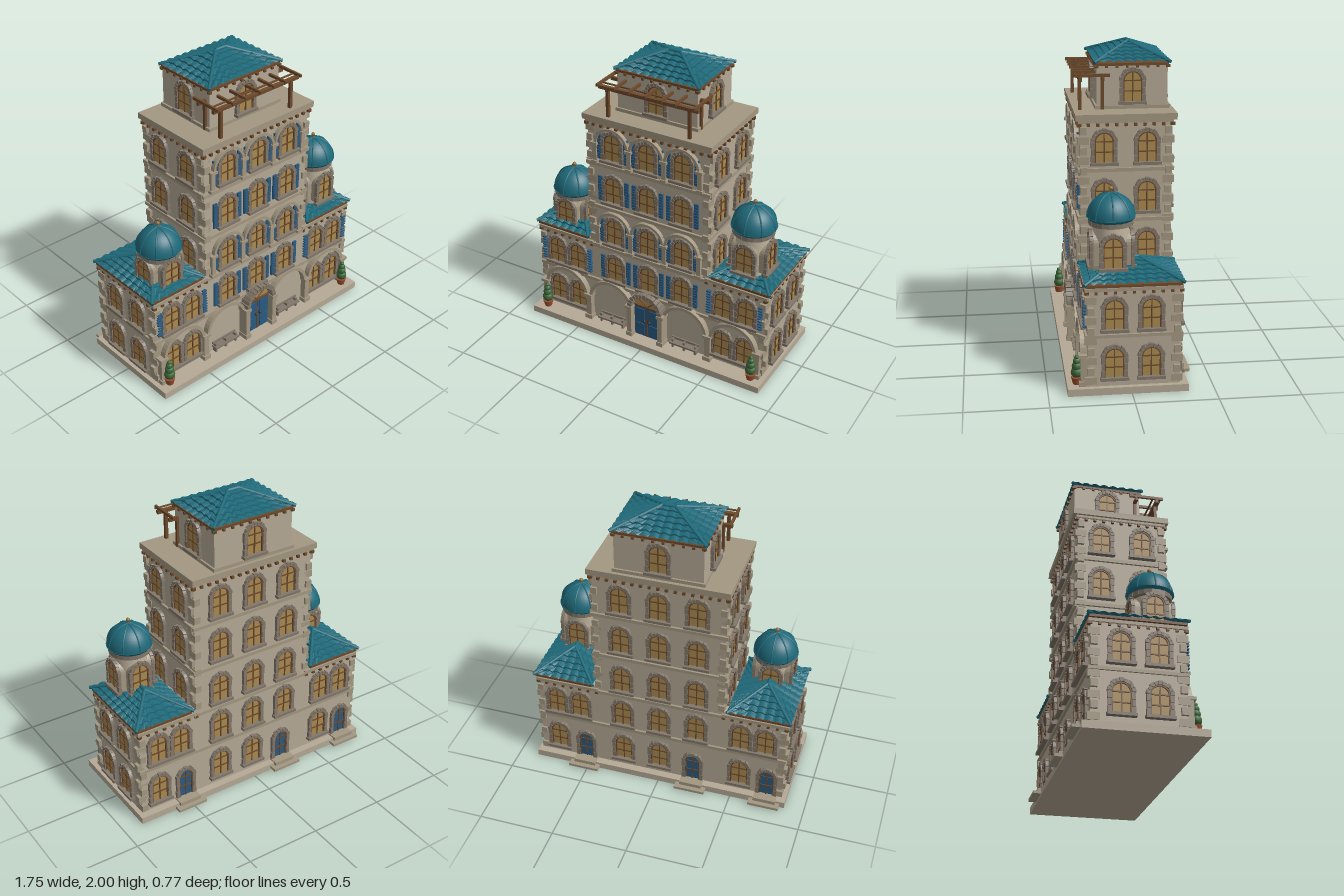
import * as THREE from 'three';
import { mergeGeometries } from 'three/addons/utils/BufferGeometryUtils.js';

const mat = (color, opts = {}) => new THREE.MeshStandardMaterial({ color, ...opts });
const M = {
  wall: mat(0xb5a995), drum: mat(0xc2b6a0), trim: mat(0xa39781), block: mat(0x82776a), pane: mat(0xa98a50),
  wood: mat(0x6e4a2c), blue: mat(0x2a5a80), roof: mat(0x1f6a7a, { side: THREE.DoubleSide, flatShading: true }),
  dome: mat(0x1f6a7a), dark: mat(0x3a3128), pot: mat(0x9a5030), leaf: mat(0x3c6638), gold: mat(0x96703c),
};
const V = (x, y, z) => new THREE.Vector3(x, y, z);
const box = (w, h, d, x, y, z) => new THREE.BoxGeometry(w, h, d).translate(x, y, z);
// box given by its limits
const span = (x0, x1, y0, y1, z0, z1) => box(x1 - x0, y1 - y0, z1 - z0, (x0 + x1) / 2, (y0 + y1) / 2, (z0 + z1) / 2);
const join = list => mergeGeometries(list.map(g => (g.index ? g.toNonIndexed() : g)));
const rod = (a, b, r) => {
  const d = b.clone().sub(a), g = new THREE.CylinderGeometry(r, r, d.length(), 8);
  g.applyQuaternion(new THREE.Quaternion().setFromUnitVectors(V(0, 1, 0), d.normalize()));
  return g.translate((a.x + b.x) / 2, (a.y + b.y) / 2, (a.z + b.z) / 2);
};
const extrude = (shape, depth, curveSegments) => new THREE.ExtrudeGeometry(shape, { depth, bevelEnabled: false, curveSegments });
// part of a flat ring between two angles
function arc(ri, ro, a0, a1, depth, x, y, z, segments = 10) {
  const s = new THREE.Shape();
  s.absarc(0, 0, ro, a0, a1, false);
  s.absarc(0, 0, ri, a1, a0, true);
  return extrude(s, depth, segments).translate(x, y, z);
}
// semicircle of separate wedge stones
function voussoirs(ri, ro, n, depth, x, y, z) {
  const out = [], st = Math.PI / n;
  for (let i = 0; i < n; i++) out.push(arc(ri, ro + (i % 2 ? 0 : 0.004), i * st + 0.02, (i + 1) * st - 0.02, depth, x, y, z, 1));
  return out;
}
function archPanel(w, h, depth) {
  const r = w / 2, s = new THREE.Shape();
  s.moveTo(-r, 0); s.lineTo(r, 0); s.lineTo(r, h - r);
  s.absarc(0, h - r, r, 0, Math.PI, false);
  return extrude(s, depth, 7);
}
function add(parent, name, geo, material) {
  const m = new THREE.Mesh(Array.isArray(geo) ? join(geo) : geo, material);
  m.name = name;
  parent.add(m);
  return m;
}

// arched opening: panel, bars, stone surround; origin at the middle of its foot, facing +z
function openingKit(w, h, sill) {
  const r = w / 2, t = 0.02, y = h - r, bars = [box(0.007, h, 0.012, 0, h / 2, 0.006)];
  for (const by of [y * 0.5, y]) bars.push(box(w, 0.007, 0.012, 0, by, 0.006));
  bars.push(arc(r - 0.008, r, 0, Math.PI, 0.014, 0, y, 0, 5));
  const stone = voussoirs(r, r + t, 9, 0.022, 0, y, 0);
  for (const s of [-1, 1]) {
    bars.push(box(0.007, y, 0.014, s * (r - 0.004), y / 2, 0.007));
    for (let i = 0; i < 3; i++) stone.push(box(i % 2 ? t : t + 0.004, y / 3 - 0.003, 0.02, s * (r + t / 2), (i + 0.5) * y / 3, 0.01));
  }
  if (sill) stone.push(box(w + 0.055, 0.018, 0.034, 0, -0.008, 0.017));
  return { panel: archPanel(w, h, 0.006), bars: join(bars), stone: join(stone) };
}
const WINDOW = openingKit(0.116, 0.185, true), DOOR = openingKit(0.1, 0.2, false);
function opening(parent, x, y, z, ry = 0, kit = WINDOW) {
  const g = new THREE.Group();
  g.name = kit === DOOR ? 'backDoor' : 'archedWindow';
  add(g, 'panel', kit.panel, kit === DOOR ? M.blue : M.pane);
  add(g, 'bars', kit.bars, M.wood);
  add(g, 'surround', kit.stone, M.block);
  g.position.set(x, y, z);
  g.rotation.y = ry;
  parent.add(g);
  return g;
}

// hipped roof of stepped barrel tiles; rx, rz are the half lengths of the ridge
function hipRoof(parent, cx, y0, cz, hw, hd, rise, rx, rz) {
  const g = new THREE.Group(), corners = [[-1, 1], [1, 1], [1, -1], [-1, -1]], rows = 6, nu = 60;
  g.name = 'tiledRoof';
  const eave = c => V(c[0] * hw, 0, c[1] * hd), top = c => V(c[0] * rx, rise, c[1] * rz), hips = [];
  corners.forEach((c, k) => {
    const n = corners[(k + 1) % 4], A = eave(c), B = eave(n), dir = B.clone().sub(A).normalize();
    const pos = [], idx = [];
    for (let j = 0; j < rows * 2; j++) for (let i = 0; i <= nu; i++) {
      const v = (Math.floor(j / 2) + j % 2) / rows, u = i / nu;
      const p = A.clone().lerp(B, u).lerp(top(c).lerp(top(n), u), v);
      const s = p.clone().sub(A).dot(dir);
      p.y += 0.012 * Math.abs(Math.sin(Math.PI * s / 0.06)) * (1 - v * 0.6) + (j % 2 ? 0 : 0.01);
      pos.push(p.x, p.y, p.z);
    }
    for (let j = 0; j < rows * 2 - 1; j++) for (let i = 0; i < nu; i++) {
      const a = j * (nu + 1) + i, b = a + nu + 1;
      idx.push(a, a + 1, b + 1, a, b + 1, b);
    }
    const geo = new THREE.BufferGeometry();
    geo.setAttribute('position', new THREE.Float32BufferAttribute(pos, 3));
    geo.setIndex(idx);
    geo.computeVertexNormals();
    add(g, 'roofSlope', geo, M.roof);
    hips.push(rod(A.setY(0.01), top(c).setY(rise + 0.004), 0.011));
  });
  hips.push(rod(V(-rx, rise + 0.004, -rz), V(rx, rise + 0.004, rz), 0.012));
  add(g, 'hipTiles', hips, M.dome);
  add(g, 'eaveBoard', box(hw * 2 - 0.02, 0.016, hd * 2 - 0.02, 0, -0.004, 0), M.wood);
  g.position.set(cx, y0, cz);
  parent.add(g);
}

// row of small brackets round a rectangular block
function brackets(x0, x1, z0, z1, y, step, size) {
  const out = [], nx = Math.round((x1 - x0) / step), nz = Math.round((z1 - z0) / step);
  for (let i = 0; i <= nx; i++) for (const z of [z0, z1]) out.push(box(size, size, size * 1.6, x0 + (x1 - x0) * i / nx, y, z));
  for (let i = 0; i <= nz; i++) for (const x of [x0, x1]) out.push(box(size * 1.6, size, size, x, y, z0 + (z1 - z0) * i / nz));
  return out;
}
// alternating corner stones
function quoins(xs, zs, y0, y1) {
  const out = [], n = Math.floor((y1 - y0) / 0.06);
  for (const x of xs) for (const z of zs) for (let i = 0; i < n; i++) {
    const l = i % 2 ? 0.07 : 0.04;
    out.push(box(l, 0.045, 0.11 - l, x, y0 + (i + 0.5) * (y1 - y0) / n, z));
  }
  return out;
}

function cupola(parent, x, z, base, drumTop, sill) {
  const g = new THREE.Group(), ring = [], ribs = [], R = 0.142, H = 0.145, n = 20;
  g.name = 'cupola';
  add(g, 'drum', new THREE.CylinderGeometry(0.108, 0.108, drumTop - base, 32).translate(0, (base + drumTop) / 2, 0), M.drum);
  for (let i = 0; i < n; i++) ring.push(box(0.04, 0.03, 0.04, 0, drumTop - 0.012, 0.112).rotateY(i * 2 * Math.PI / n));
  add(g, 'stoneRing', ring, M.block);
  add(g, 'domeRim', new THREE.CylinderGeometry(R + 0.004, R - 0.01, 0.018, 32).translate(0, drumTop + 0.01, 0), M.dome);
  add(g, 'dome', new THREE.SphereGeometry(R, 32, 12, 0, Math.PI * 2, 0, Math.PI / 2).scale(1, H / R, 1).translate(0, drumTop + 0.015, 0), M.dome);
  for (let i = 0; i < 8; i++) {
    const pts = [0, 1, 2, 3, 4, 5, 6].map(k => V(R * Math.cos(k * Math.PI / 12), drumTop + 0.015 + H * Math.sin(k * Math.PI / 12), 0));
    ribs.push(new THREE.TubeGeometry(new THREE.CatmullRomCurve3(pts), 12, 0.005, 6).rotateY(i * Math.PI / 4));
  }
  add(g, 'domeRibs', ribs, M.dome);
  const t = drumTop + 0.015 + H;
  add(g, 'finial', [rod(V(0, t - 0.01, 0), V(0, t + 0.025, 0), 0.005), new THREE.SphereGeometry(0.013, 12, 8).translate(0, t + 0.026, 0)], M.gold);
  for (let i = 0; i < 4; i++) {
    const a = i * Math.PI / 2, w = opening(g, 0.112 * Math.sin(a), sill, 0.112 * Math.cos(a), a);
    add(w, 'reveal', archPanel(0.15, 0.2, 0.04).translate(0, 0, -0.041), M.trim);
  }
  g.position.set(x, 0, z);
  parent.add(g);
}

export function createModel() {
  const root = new THREE.Group(), ZF = 0.265, ZB = -0.29, rows = [0.41, 0.695, 1.01, 1.315], cols = [-0.25, 0, 0.25];
  // plinth and back steps
  add(root, 'plinth', span(-0.87, 0.87, 0, 0.045, -0.34, 0.385), M.wall);
  for (const x of [-0.735, -0.23, 0.52]) add(root, 'backStep', [span(x - 0.103, x + 0.103, 0.012, 0.03, -0.39, -0.33), span(x - 0.075, x + 0.075, 0.03, 0.055, -0.36, -0.28)], M.trim);

  // central tower
  add(root, 'towerWalls', span(-0.43, 0.43, 0.045, 1.58, ZB, ZF), M.wall);
  add(root, 'towerCornice', [span(-0.455, 0.455, 1.572, 1.61, -0.32, 0.292), span(-0.44, 0.44, 1.555, 1.572, -0.3, 0.275)], M.trim);
  add(root, 'towerBrackets', brackets(-0.435, 0.435, ZB - 0.005, ZF + 0.005, 1.545, 0.054, 0.018), M.wood);
  add(root, 'floorBands', [0.365, 0.645, 0.955, 1.268].map(y => span(-0.445, 0.445, y - 0.011, y + 0.011, ZB - 0.015, ZF + 0.015)), M.trim);
  add(root, 'towerQuoins', quoins([-0.415, 0.415], [ZB + 0.02, ZF - 0.02], 0.68, 1.54), M.trim);
  const shutters = [];
  for (const y of rows) for (const x of cols) {
    opening(root, x, y, ZF);
    opening(root, x, y, ZB, Math.PI);
    for (const s of [-1, 1]) {
      shutters.push(box(0.03, 0.175, 0.012, x + s * 0.098, y + 0.085, ZF + 0.006));
      for (let i = 0; i < 8; i++) shutters.push(box(0.022, 0.008, 0.01, x + s * 0.098, y + 0.015 + i * 0.02, ZF + 0.012));
    }
  }
  add(root, 'shutters', shutters, M.blue);
  for (const y of rows.slice(1)) for (const z of [0.12, -0.14]) for (const s of [-1, 1]) opening(root, s * 0.43, y, z, s * Math.PI / 2);
  opening(root, 0.25, 0.11, ZB, Math.PI);
  opening(root, 0, 0.11, ZB, Math.PI);
  opening(root, -0.23, 0.055, ZB, Math.PI, DOOR);

  // blind arcades on two floors
  for (const [y0, ys] of [[0.656, 0.812], [1.279, 1.42]]) {
    const a = cols.map(x => arc(0.108, 0.125, 0, Math.PI, 0.028, x, ys, ZF));
    for (const x of [-0.375, -0.125, 0.125, 0.375]) a.push(box(0.03, ys - y0, 0.024, x, (ys + y0) / 2, ZF + 0.012), box(0.05, 0.018, 0.036, x, ys, ZF + 0.018), box(0.044, 0.02, 0.032, x, y0 + 0.01, ZF + 0.016));
    add(root, 'arcade', a, M.trim);
  }

  // ground arcade and benches
  const ground = [], bench = [];
  for (const s of [-1, 1]) {
    for (const x of [0.28, 0.635]) ground.push(arc(0.148, 0.17, 0, Math.PI, 0.04, s * x, 0.225, ZF));
    for (const x of [0.457, 0.81]) ground.push(box(0.04, 0.19, 0.04, s * x, 0.14, 0.285), box(0.06, 0.02, 0.055, s * x, 0.235, 0.29), box(0.055, 0.03, 0.05, s * x, 0.06, 0.29));
    bench.push(box(0.2, 0.012, 0.045, s * 0.28, 0.085, 0.29), box(0.2, 0.014, 0.01, s * 0.28, 0.11, 0.272));
    for (const d of [-0.085, 0, 0.085]) bench.push(box(0.014, 0.065, 0.03, s * 0.28 + d, 0.077, 0.283));
  }
  add(root, 'groundArcade', ground, M.trim);
  add(root, 'benches', bench, M.block);

  // entrance portal
  const door = new THREE.Group();
  door.name = 'entrance';
  add(door, 'portal', [-1, 1].flatMap(s => [box(0.034, 0.245, 0.07, s * 0.118, 0.165, 0.298), box(0.05, 0.022, 0.08, s * 0.12, 0.275, 0.3), box(0.045, 0.03, 0.078, s * 0.118, 0.06, 0.3)]), M.trim);
  add(door, 'portalArch', voussoirs(0.1, 0.125, 13, 0.07, 0, 0.285, ZF), M.block);
  add(door, 'transom', archPanel(0.2, 0.34, 0.018).translate(0, 0.045, ZF), M.pane);
  add(door, 'doorLeaves', [-1, 1].flatMap(s => [box(0.094, 0.235, 0.024, s * 0.05, 0.165, 0.28), ...[0.105, 0.225].map(y => box(0.06, 0.085, 0.012, s * 0.05, y, 0.292))]), M.blue);
  add(door, 'doorFrame', [box(0.2, 0.012, 0.03, 0, 0.285, 0.28), box(0.008, 0.235, 0.03, 0, 0.165, 0.28), ...[-1, 1].map(s => rod(V(0, 0.29, 0.286), V(s * 0.07, 0.345, 0.286), 0.005))], M.wood);
  add(door, 'handles', [-1, 1].map(s => new THREE.SphereGeometry(0.011, 8, 6).translate(s * 0.018, 0.175, 0.3)), M.dark);
  root.add(door);

  // side wings
  for (const s of [-1, 1]) {
    const wing = new THREE.Group(), xa = s > 0 ? 0.43 : -0.84, xb = xa + 0.41;
    wing.name = s > 0 ? 'leftWing' : 'rightWing';
    add(wing, 'wingWalls', span(xa, xb, 0.045, 0.68, ZB, ZF), M.wall);
    add(wing, 'wingBands', [0.365, 0.655].map(y => span(xa - 0.012, xb + 0.012, y - 0.01, y + 0.01, ZB - 0.014, ZF + 0.014)), M.trim);
    add(wing, 'wingBrackets', brackets(xa, xb, ZB - 0.004, ZF + 0.004, 0.636, 0.058, 0.017), M.wood);
    add(wing, 'wingQuoins', quoins([s * 0.825], [ZB + 0.02, ZF - 0.02], 0.05, 0.62), M.trim);
    for (const y of [0.105, 0.41]) {
      for (const x of [0.548, 0.712]) {
        opening(wing, s * x, y, ZF);
        const isDoor = y < 0.2 && x === (s > 0 ? 0.548 : 0.712);
        if (isDoor) opening(wing, s > 0 ? 0.52 : -0.735, 0.055, ZB, Math.PI, DOOR);
        else opening(wing, s * x, y, ZB, Math.PI);
      }
      for (const z of [0.105, -0.115]) opening(wing, s * 0.84, y, z, s * Math.PI / 2);
    }
    // louvred shutters
    const slats = [];
    for (const x of [0.45, 0.812]) for (let i = 0; i < 9; i++) slats.push(box(0.03, 0.008, 0.02, s * x, 0.42 + i * 0.02, ZF + 0.014));
    add(wing, 'louvres', slats, M.blue);
    hipRoof(wing, s * 0.66, 0.682, -0.012, 0.208, 0.297, 0.105, 0, 0.05);
    cupola(wing, s * 0.662, 0.105, 0.68, s > 0 ? 1.03 : 0.915, s > 0 ? 0.765 : 0.695);
    // potted topiary
    add(wing, 'pot', new THREE.CylinderGeometry(0.035, 0.024, 0.045, 16).translate(s * 0.785, 0.068, 0.325), M.pot);
    add(wing, 'topiary', [[0.12, 0.036], [0.158, 0.03], [0.19, 0.023], [0.215, 0.014]].map(([y, r]) => new THREE.SphereGeometry(r, 12, 8).translate(s * 0.785, y, 0.325)), M.leaf);
    root.add(wing);
  }

  // penthouse
  add(root, 'penthouseWalls', span(-0.28, 0.28, 1.6, 1.885, -0.285, 0.148), M.wall);
  add(root, 'penthouseBase', span(-0.292, 0.292, 1.61, 1.632, -0.298, 0.16), M.trim);
  add(root, 'penthouseBrackets', brackets(-0.28, 0.28, -0.287, 0.15, 1.868, 0.06, 0.016), M.wood);
  opening(root, 0, 1.655, 0.148);
  opening(root, 0, 1.655, -0.285, Math.PI);
  for (const s of [-1, 1]) opening(root, s * 0.28, 1.655, -0.07, s * Math.PI / 2);
  hipRoof(root, 0, 1.884, -0.068, 0.297, 0.232, 0.1, 0.04, 0);

  // pergola
  const beams = [box(0.69, 0.024, 0.02, 0, 1.802, 0.252)];
  for (const x of [-0.285, 0.285]) for (const z of [0.252, 0.115]) beams.push(box(0.02, 0.2, 0.02, x, 1.705, z));
  for (const s of [-1, 1]) beams.push(box(0.075, 0.022, 0.018, s * 0.307, 1.802, 0.115));
  for (const x of [-0.337, -0.217, -0.117, 0, 0.11, 0.205, 0.332]) beams.push(box(0.014, 0.018, 0.22, x, 1.824, 0.182));
  for (const z of [0.225, 0.275]) beams.push(box(0.69, 0.008, 0.01, 0, 1.818, z));
  add(root, 'pergola', beams, M.wood);
  return root;
}
